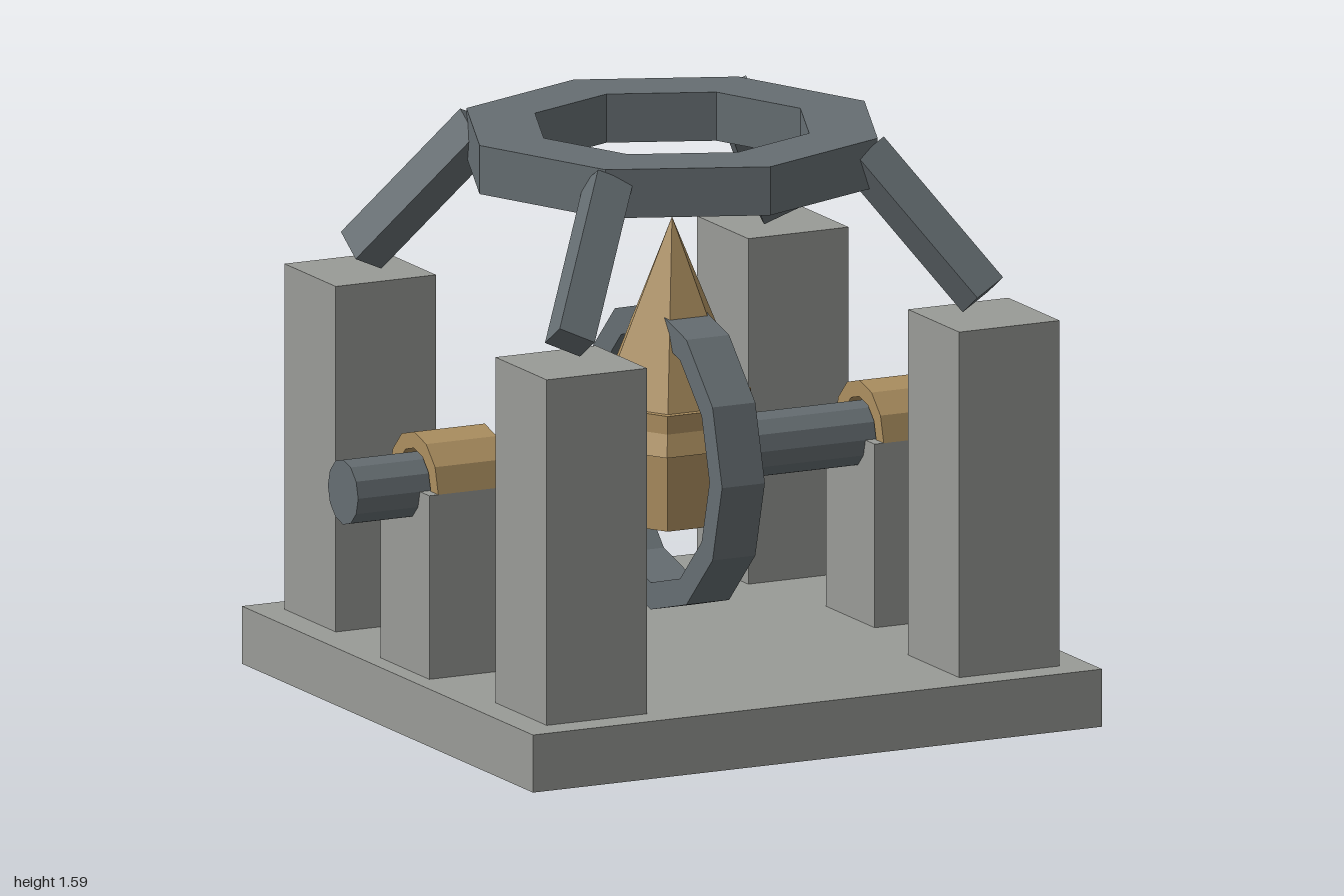
import * as THREE from 'three';

const material = (color) => new THREE.MeshStandardMaterial({ color, flatShading: true });

// Regular polygon outline with a corner on the +x axis
function polygon(radius, sides) {
  return Array.from({ length: sides }, (_, i) => {
    const a = (i / sides) * Math.PI * 2;
    return new THREE.Vector2(radius * Math.cos(a), radius * Math.sin(a));
  });
}

// Faceted flat ring around z, centred on the origin
function ringGeometry(outer, inner, depth, sides) {
  const shape = new THREE.Shape(polygon(outer, sides));
  shape.holes.push(new THREE.Path(polygon(inner, sides)));
  const geometry = new THREE.ExtrudeGeometry(shape, { depth, bevelEnabled: false });
  return geometry.translate(0, 0, -depth / 2);
}

export function createModel() {
  const group = new THREE.Group();
  const stone = material(0x999b97);
  const steel = material(0x666e72);
  const brass = material(0xac8f60);
  const axleY = 0.67;

  function add(name, geometry, mat, x, y, z) {
    const mesh = new THREE.Mesh(geometry, mat);
    mesh.name = name;
    mesh.position.set(x, y, z);
    group.add(mesh);
    return mesh;
  }

  // Base slab
  add('base', new THREE.BoxGeometry(1.73, 0.16, 1.73), stone, 0, 0.08, 0);

  // Corner pillars, each with a strut leaning in to the top ring
  const pillar = new THREE.BoxGeometry(0.305, 0.96, 0.305);
  const strut = new THREE.BoxGeometry(0.105, 0.5, 0.105);
  for (const sx of [-1, 1]) {
    for (const sz of [-1, 1]) {
      add('pillar', pillar, stone, sx * 0.627, 0.64, sz * 0.627);
      add('strut', strut, steel, sx * 0.508, 1.358, sz * 0.5).rotation.set(-sz * 0.58, 0, sx * 0.5);
    }
  }

  // Octagonal top ring
  add('topRing', ringGeometry(0.585, 0.39, 0.135, 8).rotateX(Math.PI / 2), steel, 0, 1.522, 0);

  // Axle with a bearing block and bearing on each side
  add('axle', new THREE.CylinderGeometry(0.09, 0.09, 2, 12).rotateZ(Math.PI / 2), steel, 0, axleY, 0);
  const block = new THREE.BoxGeometry(0.27, 0.51, 0.29);
  const bearing = ringGeometry(0.145, 0.1, 0.215, 12).rotateY(Math.PI / 2);
  for (const sx of [-1, 1]) {
    add('bearingBlock', block, stone, sx * 0.677, 0.415, 0);
    add('bearing', bearing, brass, sx * 0.677, axleY, 0);
  }

  // Upright wheel around the hub
  add('wheel', ringGeometry(0.425, 0.35, 0.13, 12).rotateY(Math.PI / 2), steel, 0, axleY, 0);

  // Six-sided hub and its pointed spire, corners on the x axis
  const turn = Math.PI / 6;
  add('hub', new THREE.CylinderGeometry(0.24, 0.24, 0.32, 6, 1, false, turn), brass, 0, 0.67, 0);
  add('spire', new THREE.ConeGeometry(0.266, 0.61, 6, 1, false, turn), brass, 0, 1.025, 0);

  return group;
}
